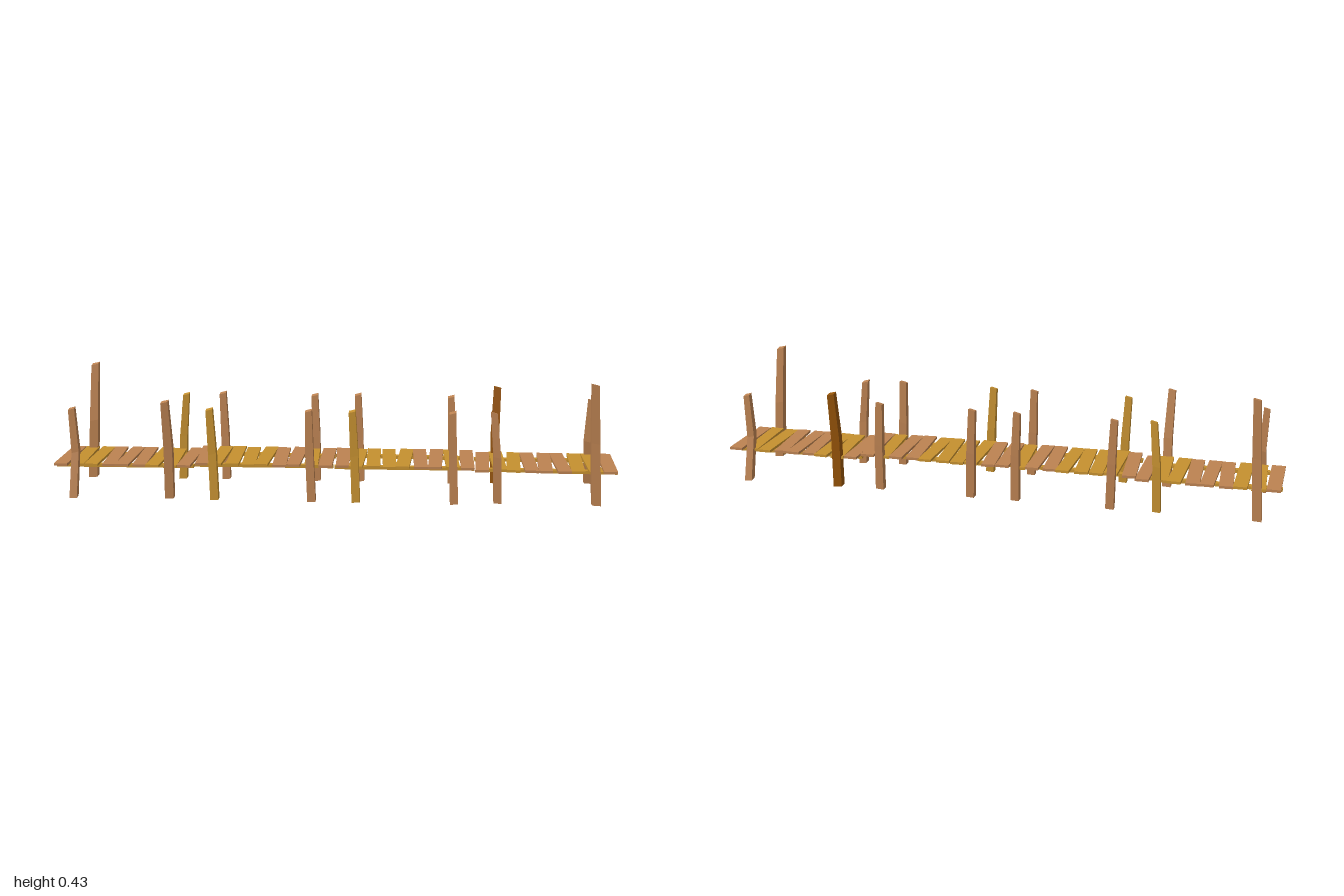
import * as THREE from 'three';

const TAN = 0xbc8251, GOLD = 0xc5902f, DARK = 0x965408;
const materials = {};
const wood = (color) => (materials[color] ??= new THREE.MeshStandardMaterial({ color, flatShading: true }));

// small seeded generator, returns -1..1
let seed = 7;
const jitter = () => {
  seed = (seed * 16807) % 2147483647;
  return (seed / 2147483647) * 2 - 1;
};

function add(group, name, geometry, color) {
  const mesh = new THREE.Mesh(geometry, wood(color));
  mesh.name = name;
  group.add(mesh);
  return mesh;
}

// Hand-hewn post: a box whose rings follow bottom, middle and top centres [x, z]
function post(group, name, color, height, bottom, middle, top, width = 0.028) {
  const geometry = new THREE.BoxGeometry(1, 1, 1, 1, 2, 1);
  const p = geometry.attributes.position;
  const rings = [
    { c: bottom, y: 0.006, w: width * 1.03 },
    { c: middle, y: height * 0.52, w: width },
    { c: top, y: height, w: width * 0.84 },
  ];
  for (let i = 0; i < p.count; i++) {
    const { c, y, w } = rings[Math.round((p.getY(i) + 0.5) * 2)];
    const tilt = y > 0.1 ? 0.003 : 0.001;
    p.setXYZ(i, c[0] + p.getX(i) * w, y + p.getX(i) * tilt * 2 - p.getZ(i) * tilt, c[1] + p.getZ(i) * w);
  }
  geometry.computeVertexNormals();
  add(group, name, geometry, color);
}

// Nine loose planks on two stringers, half a unit long, centred on x = 0
function deck(colors, planks, stringerColor, y, roughness) {
  const group = new THREE.Group();
  const pitch = 0.5 / 9;
  planks.forEach(([dz, yaw], i) => {
    const plank = add(group, 'plank', new THREE.BoxGeometry(0.048, 0.009, 0.258), colors[i]);
    plank.position.set((i - 4) * pitch, y + 0.0045 + roughness * (1 + jitter()), dz);
    plank.rotation.set(0, yaw, jitter() * roughness * 14);
  });
  for (const side of [-1, 1]) {
    const stringer = add(group, 'stringer', new THREE.BoxGeometry(0.495, 0.011, 0.022), stringerColor);
    stringer.position.set(0, y - 0.0055, side * 0.077);
    stringer.rotation.y = side * 0.022;
  }
  return group;
}

const endPlanks = [[-0.004, -0.02], [-0.009, 0.02], [-0.004, -0.03], [-0.008, 0.04], [-0.006, -0.04],
  [-0.007, 0.02], [-0.003, -0.05], [0.002, 0.03], [-0.006, -0.04]];
const midPlanks = [[-0.006, 0.05], [0.002, -0.03], [-0.007, 0.02], [-0.002, 0.04], [-0.006, -0.05],
  [-0.001, 0.03], [-0.005, -0.03], [-0.008, 0.04], [-0.001, 0.0]];
const endColors = [TAN, GOLD, GOLD, TAN, TAN, TAN, GOLD, GOLD, TAN];
const midColors = [TAN, GOLD, GOLD, GOLD, GOLD, TAN, TAN, GOLD, TAN];

// End bay: one tall mooring post and one outward-leaning post
function endBay(leanColor, innerColor) {
  const bay = new THREE.Group();
  const floor = deck(endColors, endPlanks, GOLD, 0.111, 0.0005);
  floor.name = 'endDeck';
  bay.add(floor);
  post(bay, 'tallPost', TAN, 0.434, [-0.17, -0.132], [-0.158, -0.13], [-0.149, -0.142], 0.031);
  post(bay, 'outerPost', TAN, 0.324, [-0.172, 0.157], [-0.164, 0.133], [-0.172, 0.134], 0.026);
  post(bay, 'leaningPost', leanColor, 0.36, [0.17, 0.138], [0.172, 0.15], [0.166, 0.168], 0.03);
  post(bay, 'innerPost', innerColor, 0.328, [0.172, -0.129], [0.177, -0.131], [0.191, -0.126], 0.027);
  return bay;
}

// Middle bay: four near-vertical posts
function middleBay() {
  const bay = new THREE.Group();
  const floor = deck(midColors, midPlanks, GOLD, 0.119, 0.0014);
  floor.name = 'middleDeck';
  bay.add(floor);
  post(bay, 'frontPost', GOLD, 0.33, [0.167 - 0.335, 0.146], [-0.174, 0.14], [-0.182, 0.142]);
  post(bay, 'frontPost', TAN, 0.33, [0.176, 0.148], [0.169, 0.143], [0.166, 0.143]);
  post(bay, 'backPost', TAN, 0.33, [-0.166, -0.136], [-0.17, -0.143], [-0.176, -0.146]);
  post(bay, 'backPost', TAN, 0.328, [0.172, -0.132], [0.171, -0.136], [0.165, -0.14]);
  return bay;
}

export function createModel() {
  const model = new THREE.Group();
  model.name = 'woodenDock';

  const rightEnd = endBay(TAN, GOLD);
  rightEnd.name = 'rightEndBay';
  rightEnd.position.x = -0.75;

  // same bay turned half way round
  const leftEnd = endBay(DARK, TAN);
  leftEnd.name = 'leftEndBay';
  leftEnd.position.x = 0.75;
  leftEnd.rotation.y = Math.PI;
  leftEnd.getObjectByName('endDeck').position.z = 0.02;
  model.add(rightEnd, leftEnd);

  for (const x of [-0.25, 0.25]) {
    const bay = middleBay();
    bay.name = 'middleBay';
    bay.position.x = x;
    model.add(bay);
  }
  return model;
}
